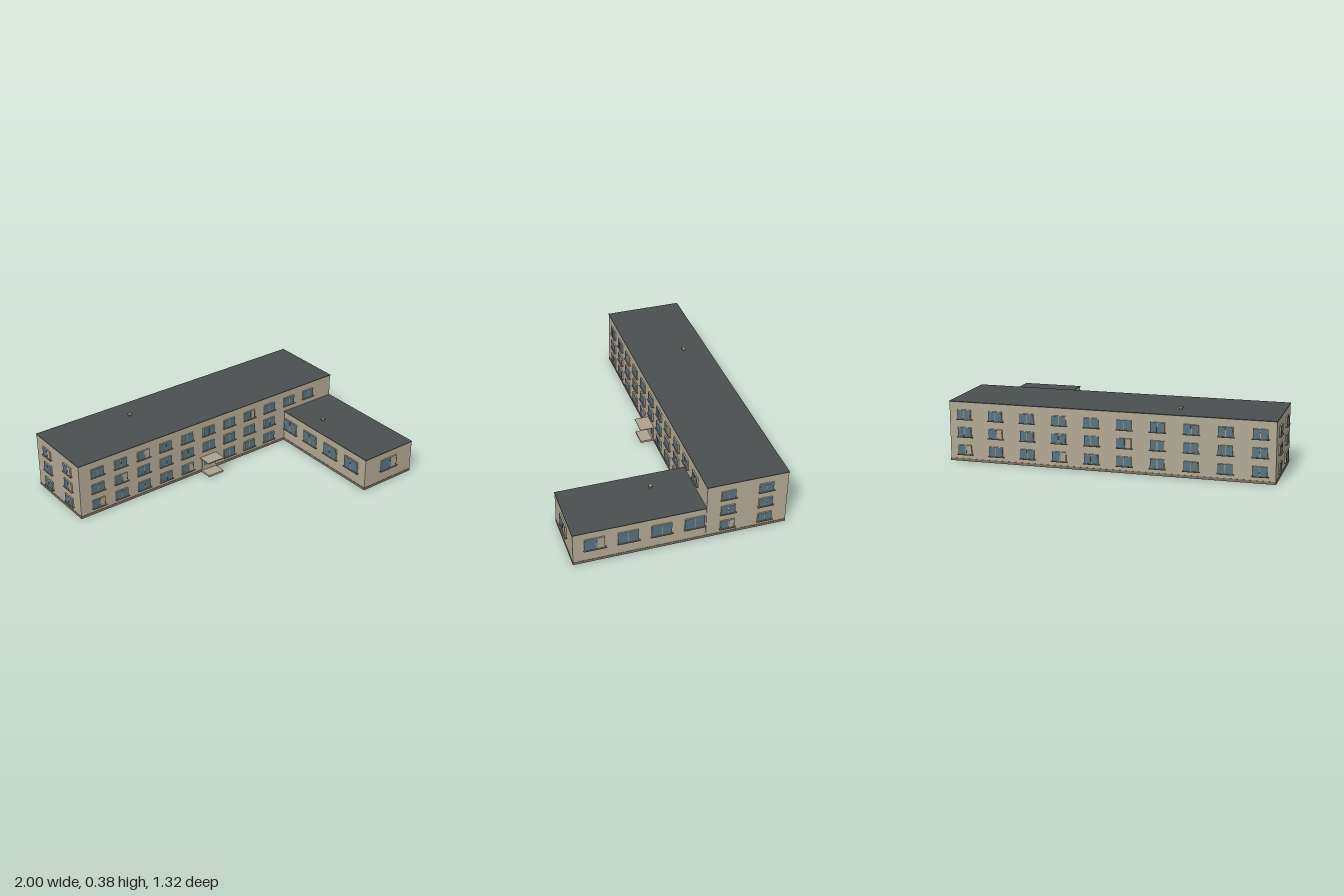
import * as THREE from 'three';

const mat = (name, color) => new THREE.MeshStandardMaterial({ name, color });

export function createModel() {
  const wall = mat('wall', 0xb2a995);
  const trim = mat('trim', 0xada28d);
  const brown = mat('plinthBrown', 0x7d7061);
  const roof = mat('roofGrey', 0x4a4e50);
  const glass = mat('glass', 0x587280);

  const model = new THREE.Group();
  model.name = 'building';

  // Box given by its minimum and maximum corners
  function box(parent, name, material, [x0, y0, z0], [x1, y1, z1]) {
    const m = new THREE.Mesh(new THREE.BoxGeometry(x1 - x0, y1 - y0, z1 - z0), material);
    m.position.set((x0 + x1) / 2, (y0 + y1) / 2, (z0 + z1) / 2);
    m.name = name;
    parent.add(m);
    return m;
  }

  // Block: plinth, walls and thin flat roof
  function block(name, x0, x1, z0, z1, h) {
    const g = new THREE.Group();
    g.name = name;
    box(g, 'plinth', brown, [x0 - 0.002, 0, z0 - 0.002], [x1 + 0.002, 0.016, z1 + 0.002]);
    box(g, 'walls', wall, [x0, 0.016, z0], [x1, h - 0.005, z1]);
    box(g, 'roof', roof, [x0 - 0.002, h - 0.005, z0 - 0.002], [x1 + 0.002, h, z1 + 0.002]);
    model.add(g);
  }
  block('mainBlock', -0.986, 0.986, -0.645, -0.15, 0.366);
  block('wing', 0.592, 0.986, -0.148, 0.642, 0.217);

  // Window facing +z: raised frame, two panes or one pane with a blind, sill
  function makeWindow(w, h, blind) {
    const g = new THREE.Group();
    g.name = 'window';
    const a = w / 2, b = h / 2, f = 0.008;
    box(g, 'frame', trim, [-a - 0.002, -b - 0.002, 0], [a + 0.002, b + 0.002, f]);
    const pane = (x0, x1) => box(g, 'pane', glass, [x0, -b, f], [x1, b, f + 0.001]);
    if (blind) {
      pane(-a, a * 0.08);
      pane(a * 0.14, a * 0.26);
      box(g, 'blindEdge', brown, [a - 0.002, -b, f], [a, b, f + 0.001]);
    } else {
      pane(-a, -0.002);
      pane(0.002, a);
    }
    box(g, 'sill', brown, [-a - 0.007, -b - 0.007, 0], [a + 0.01, -b - 0.003, 0.014]);
    return g;
  }
  function addWindow(x, y, z, turn, w, h, blind) {
    const g = makeWindow(w, h, blind);
    g.position.set(x, y, z);
    g.rotation.y = turn;
    model.add(g);
  }

  let seed = 7;
  const rnd = () => (seed = (seed * 16807) % 2147483647) / 2147483647;
  const floors = [0.072, 0.181, 0.289];
  const W = 0.082, H = 0.053, Q = Math.PI / 2;

  // Front of the main block; the entrance and the wing replace some windows
  const frontBlinds = [[0, 4], [1], [2, 7]];
  floors.forEach((y, r) => {
    for (let i = 0; i < 11; i++) {
      if ((r === 0 && i === 5) || (r < 2 && i > 8)) continue;
      addWindow(-0.86 + i * 0.165, y, -0.15, 0, W, H, frontBlinds[r].includes(i));
    }
    // Back
    for (let i = 0; i < 10; i++) {
      addWindow(0.892 - i * 0.1985, y, -0.645, Math.PI, W, H, rnd() < 0.25);
    }
    // Both ends
    for (const z of [-0.279, -0.51]) {
      addWindow(0.986, y, z, Q, W, H, r === 0 && z > -0.4);
      addWindow(-0.986, y, z - (z < -0.4 ? 0.01 : 0), -Q, W, H, rnd() < 0.3);
    }
  });

  // Wing windows
  for (let i = 0; i < 4; i++) {
    const z = 0.515 - i * 0.198;
    addWindow(0.986, 0.131, z, Q, 0.116, 0.072, i === 0);
    addWindow(0.592, 0.131, z, -Q, 0.116, 0.072, rnd() < 0.25);
  }
  addWindow(0.788, 0.131, 0.642, 0, 0.126, 0.072, true);

  // Entrance: door with glazing, step and canopy
  const entrance = new THREE.Group();
  entrance.name = 'entrance';
  box(entrance, 'doorSurround', trim, [-0.088, 0.012, -0.15], [0.018, 0.088, -0.142]);
  for (const x of [-0.076, -0.033]) {
    box(entrance, 'doorGlass', glass, [x, 0.045, -0.142], [x + 0.038, 0.078, -0.141]);
  }
  box(entrance, 'step', trim, [-0.092, 0, -0.15], [0.02, 0.012, -0.065]);
  box(entrance, 'canopy', trim, [-0.1, 0.102, -0.15], [0.026, 0.107, -0.06]);
  box(entrance, 'canopyEdge', brown, [-0.1, 0.107, -0.06], [0.026, 0.11, -0.058]);
  model.add(entrance);

  // Roof vents
  for (const [x, y, z] of [[-0.4, 0.366, -0.49], [0.712, 0.217, 0.1]]) {
    box(model, 'ventStem', brown, [x - 0.007, y, z - 0.007], [x + 0.007, y + 0.008, z + 0.007]);
    box(model, 'ventCap', trim, [x - 0.01, y + 0.008, z - 0.01], [x + 0.01, y + 0.016, z + 0.01]);
  }

  return model;
}
